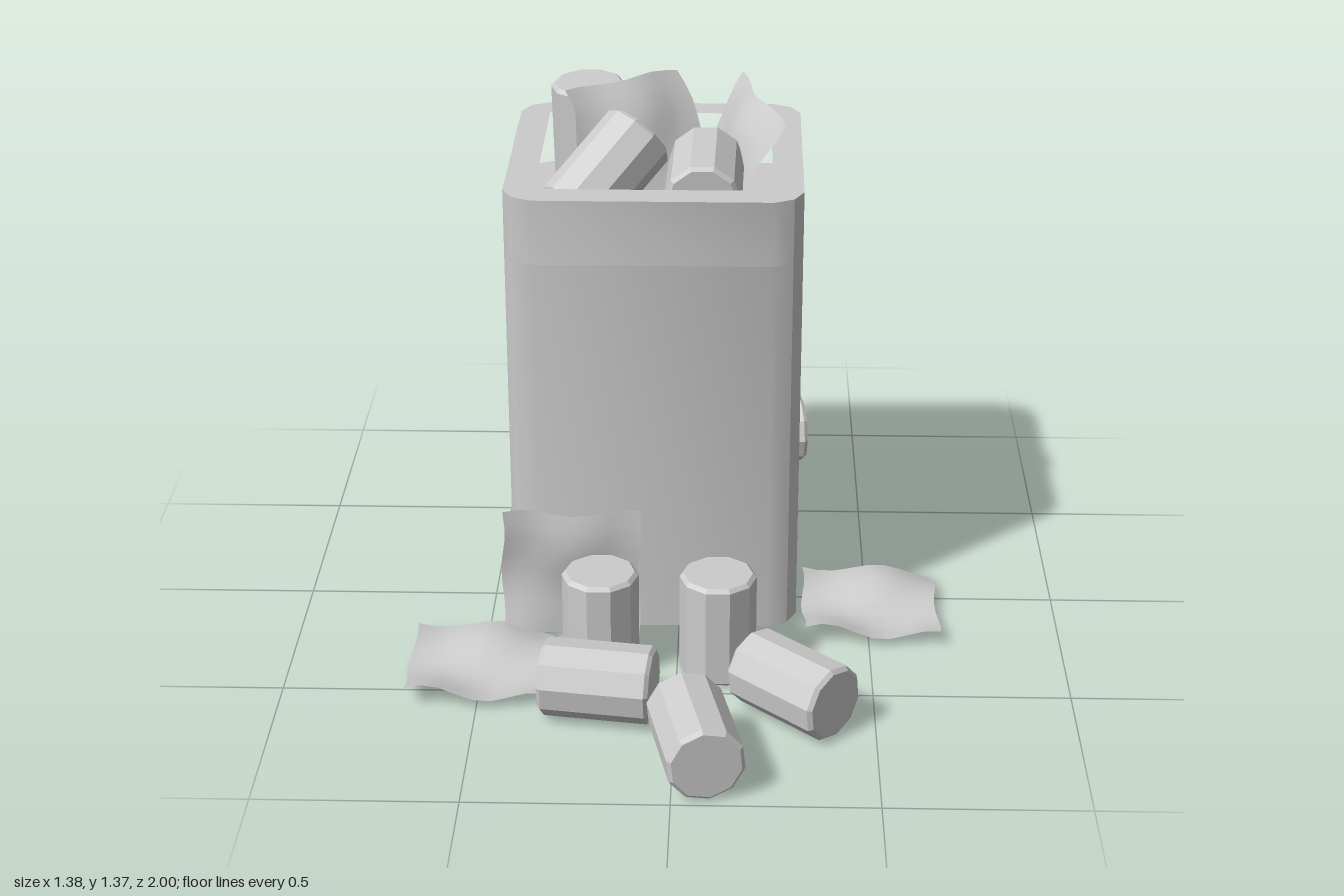
import * as THREE from 'three';
import { toCreasedNormals } from 'three/addons/utils/BufferGeometryUtils.js';

const V = (x, y, z) => new THREE.Vector3(x, y, z);
const CAN_R = 0.098, CAN_H = 0.28;

const smooth = new THREE.MeshStandardMaterial({ color: 0xcccccc });
const faceted = new THREE.MeshStandardMaterial({ color: 0xcccccc, flatShading: true });
const paper = new THREE.MeshStandardMaterial({ color: 0xcccccc, side: THREE.DoubleSide });

function addMesh(parent, name, geometry, material) {
  const mesh = new THREE.Mesh(geometry, material);
  mesh.name = name;
  parent.add(mesh);
  return mesh;
}

// Upright prism from a plan outline (x, z), between two heights
function prism(outline, hole, y0, y1) {
  const shape = new THREE.Shape(outline.map(([x, z]) => new THREE.Vector2(x, -z)));
  if (hole) shape.holes.push(new THREE.Path(hole.map(([x, z]) => new THREE.Vector2(x, -z))));
  const g = new THREE.ExtrudeGeometry(shape, { depth: y1 - y0, bevelEnabled: false });
  g.rotateX(-Math.PI / 2).translate(0, y0, 0);
  return toCreasedNormals(g, 0.55);
}

// Ten-sided can centred on its own axis (y), with slightly chamfered ends
function canGeometry() {
  const h = CAN_H / 2, r = CAN_R;
  const profile = [
    [0, -h], [r - 0.01, -h], [r, -h + 0.01], [r, -h / 3], [r, h / 3], [r, h - 0.01], [r - 0.01, h], [0, h],
  ].map(([x, y]) => new THREE.Vector2(x, y));
  return new THREE.LatheGeometry(profile, 10, Math.PI / 10);
}

// Can centred at a point, with its axis along a direction
function addCan(parent, name, centre, axis, geometry = canGeometry()) {
  const can = addMesh(parent, name, geometry, faceted);
  can.position.copy(centre);
  can.quaternion.setFromUnitVectors(V(0, 1, 0), axis.clone().normalize());
  return can;
}

// Crumpled square sheet spanned by two edge vectors from a corner
function addSheet(parent, name, corner, u, v, amp, phase = 0) {
  const g = new THREE.PlaneGeometry(1, 1, 8, 8);
  const p = g.attributes.position;
  const n = u.clone().cross(v).normalize();
  for (let i = 0; i < p.count; i++) {
    const s = p.getX(i) + 0.5, t = p.getY(i) + 0.5;
    const wave = 0.55 * Math.sin(s * 7.5 + phase) * Math.cos(t * 3 + phase) + 0.45 * Math.cos(t * 6.5 + s * 1.5 + phase);
    const ripple = 0.008 * Math.sin(9 * t + phase);
    const ripple2 = 0.008 * Math.sin(9 * s + phase);
    const q = corner.clone()
      .addScaledVector(u, s + ripple * 2)
      .addScaledVector(v, t + ripple2 * 2)
      .addScaledVector(n, amp * wave);
    p.setXYZ(i, q.x, q.y, q.z);
  }
  g.computeVertexNormals();
  return addMesh(parent, name, g, paper);
}

export function createModel() {
  const model = new THREE.Group();
  model.name = 'overflowingBin';

  // Bin: square body with clipped corners and a recessed top
  const cx = -0.065, cz = -0.182;
  const corner = [[0.375, 0.3], [0.35, 0.35], [0.3, 0.375]];
  const outline = [];
  for (let k = 0; k < 4; k++) {
    const c = Math.round(Math.cos(k * Math.PI / 2)), s = Math.round(Math.sin(k * Math.PI / 2));
    for (const [x, z] of corner) outline.push([cx + x * c - z * s, cz + x * s + z * c]);
  }
  const hole = [[-1, -1], [1, -1], [1, 1], [-1, 1]].map(([x, z]) => [cx + x * 0.297, cz + z * 0.293]);
  const bin = new THREE.Group();
  bin.name = 'bin';
  model.add(bin);
  addMesh(bin, 'binBody', prism(outline, null, 0.025, 1.05), smooth);
  addMesh(bin, 'binRim', prism(outline, hole, 1.05, 1.22), smooth);

  // Cans on the ground in front
  const ground = new THREE.Group();
  ground.name = 'groundLitter';
  model.add(ground);
  addCan(ground, 'standingCanRight', V(-0.195, 0.147, 0.375), V(0, 1, 0));
  addCan(ground, 'standingCanLeft', V(0.105, 0.147, 0.378), V(0, 1, 0));
  addCan(ground, 'lyingCanRight', V(-0.19, 0.103, 0.602), V(0.275, 0, 0.04));
  addCan(ground, 'lyingCanFront', V(0.056, 0.103, 0.845), V(0.058, 0, 0.268));
  addCan(ground, 'lyingCanLeft', V(0.294, 0.103, 0.605), V(0.195, 0, 0.18));

  // Dented can behind: pinched waist, far end bent upwards
  const dented = canGeometry();
  const p = dented.attributes.position;
  for (let i = 0; i < p.count; i++) {
    const t = p.getY(i) / (CAN_H / 2);
    const pinch = 0.8 + 0.24 * t * t;
    const r = p.getX(i) * pinch;
    const bend = Math.max(0, -t) * 0.36;
    const up = p.getZ(i) * pinch;
    p.setXYZ(i, r, p.getY(i) + up * Math.sin(bend), up * Math.cos(bend) + 0.03 * Math.max(0, -t) ** 2);
  }
  dented.rotateX(-Math.PI / 2).rotateY(-Math.PI / 2);
  const dentedCan = addMesh(ground, 'dentedCan', dented, faceted);
  dentedCan.position.set(0.205, 0.108, -0.82);
  dentedCan.rotation.y = 0.16;

  // Loose sheets on the ground and one leaning on the bin
  const across = V(0.355, 0, 0), deep = V(0, 0, -0.35);
  addSheet(ground, 'sheetLeft', V(0.33, 0.037, 0.25), across, deep, 0.032, 0.4);
  addSheet(ground, 'sheetRight', V(-0.685, 0.037, 0.58), across, deep, 0.032, 0.4);
  addSheet(ground, 'sheetBack', V(-0.23, 0.037, -0.643), across, deep, 0.032, 0.4);
  addSheet(ground, 'leaningSheet', V(-0.46, 0.025, 0.225), V(0.355, 0, 0), V(0.005, 0.345, -0.005), 0.025, 0.4);

  // Rubbish heaped in the top
  const heap = new THREE.Group();
  heap.name = 'heap';
  model.add(heap);
  addCan(heap, 'heapStandingCan', V(-0.25, 1.2, -0.385), V(-0.02, 1, 0.06));
  addCan(heap, 'heapTiltedCan', V(-0.19, 1.205, -0.045), V(0.6, 0.6, -0.48));
  addCan(heap, 'heapLyingCan', V(0.06, 1.185, -0.05), V(-0.02, -0.05, 1));
  addSheet(heap, 'heapSheetRight', V(-0.18, 1.08, -0.05), V(0.29, 0, -0.21), V(-0.12, 0.29, -0.15), 0.025, 0.6);
  addSheet(heap, 'heapSheetLeft', V(0.0, 1.06, -0.4), V(0.1, -0.03, 0.32), V(0.15, 0.3, 0), 0.025, 0.9);

  return model;
}
